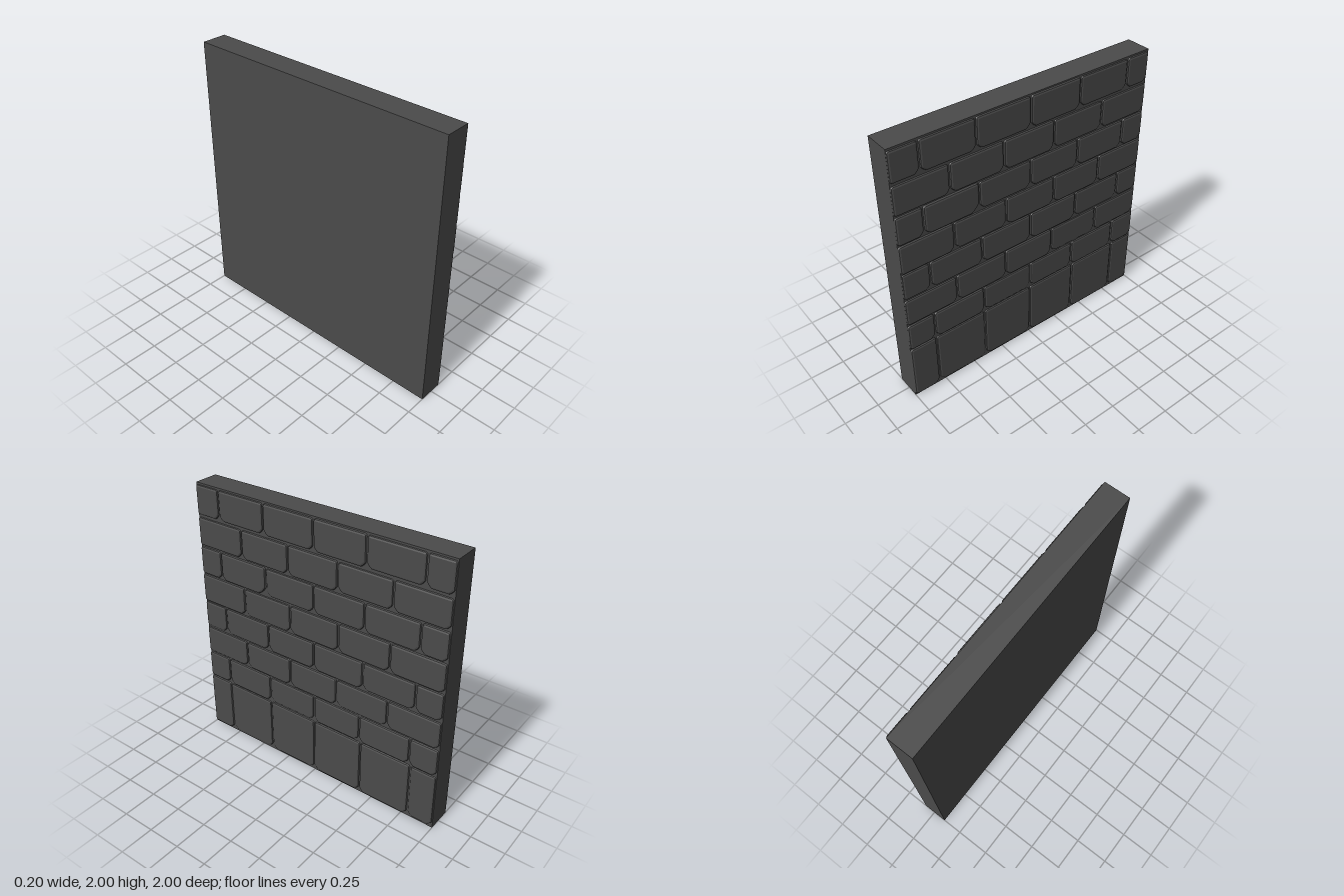
import * as THREE from 'three';

const BACK = -0.1, MORTAR = 0.084, FACE = 0.098;
const BEVEL = 0.014;

// Courses from the ground up: bottom, top, and the vertical joints along u (u = -z)
const EVEN = [-0.8, -0.4, 0, 0.4, 0.8];
const ODD = [-0.61, -0.21, 0.19, 0.6];
const COURSES = [
  [0.01, 0.445, EVEN],
  [0.45, 0.663, [-0.8, -0.4, 0, 0.385, 0.785]],
  [0.67, 0.883, ODD],
  [0.89, 1.1, EVEN],
  [1.104, 1.318, [-0.605, -0.2, 0.2, 0.6]],
  [1.325, 1.535, [-0.81, -0.405, 0, 0.4, 0.805]],
  [1.542, 1.755, ODD],
  [1.768, 1.99, [-0.8, -0.41, 0, 0.4, 0.81]],
];

// Stone outline: worn, cut lower corners and slightly rounded upper ones
function stoneShape(u0, u1, y0, y1, cutL, cutR) {
  const t = 0.018;
  const s = new THREE.Shape();
  s.moveTo(u0 + cutL, y0);
  s.lineTo(u1 - cutR, y0);
  s.quadraticCurveTo(u1 - cutR * 0.4, y0 + cutR * 0.3, u1, y0 + cutR);
  s.lineTo(u1, y1 - t);
  s.quadraticCurveTo(u1, y1, u1 - t, y1);
  s.lineTo(u0 + t, y1);
  s.quadraticCurveTo(u0, y1, u0, y1 - t);
  s.lineTo(u0, y0 + cutL);
  s.quadraticCurveTo(u0 + cutL * 0.4, y0 + cutL * 0.3, u0 + cutL, y0);
  return s;
}

function stone(material, u0, u1, y0, y1, face, cutL, cutR) {
  const geometry = new THREE.ExtrudeGeometry(stoneShape(u0, u1, y0, y1, cutL, cutR), {
    depth: 0.02, bevelEnabled: true, bevelThickness: BEVEL, bevelSize: BEVEL,
    bevelOffset: -BEVEL, bevelSegments: 2, curveSegments: 3,
  });
  geometry.translate(0, 0, face - 0.02 - BEVEL);
  geometry.rotateY(Math.PI / 2); // outward direction becomes +x
  const mesh = new THREE.Mesh(geometry, material);
  mesh.name = 'stone';
  return mesh;
}

export function createModel() {
  const group = new THREE.Group();
  group.name = 'stoneWall';
  const material = new THREE.MeshStandardMaterial({ color: 0x4a4a4a });

  // Solid slab behind the stones, whose front is the mortar
  const slab = new THREE.Mesh(new THREE.BoxGeometry(MORTAR - BACK, 2, 2), material);
  slab.position.set((BACK + MORTAR) / 2, 1, 0);
  slab.name = 'wallSlab';
  group.add(slab);

  // Courses of stones, with small uneven steps in depth and height
  COURSES.forEach(([y0, y1, joints], row) => {
    const course = new THREE.Group();
    course.name = 'stoneCourse';
    const edges = [-1, ...joints, 1];
    for (let i = 0; i < edges.length - 1; i++) {
      const first = i === 0;
      const wobble = ((row * 5 + i * 3) % 4) / 4;
      const gap = 0.004;
      const proud = row === 5 && i === 1; // one stone stands out a little
      course.add(stone(
        material,
        first ? -1 : edges[i] + gap, edges[i + 1] - gap,
        y0 + wobble * 0.004, y1 - wobble * 0.004,
        proud ? 0.1 : FACE - wobble * 0.003,
        first ? 0.015 : 0.036, proud ? 0.06 : 0.036,
      ));
    }
    group.add(course);
  });
  return group;
}
